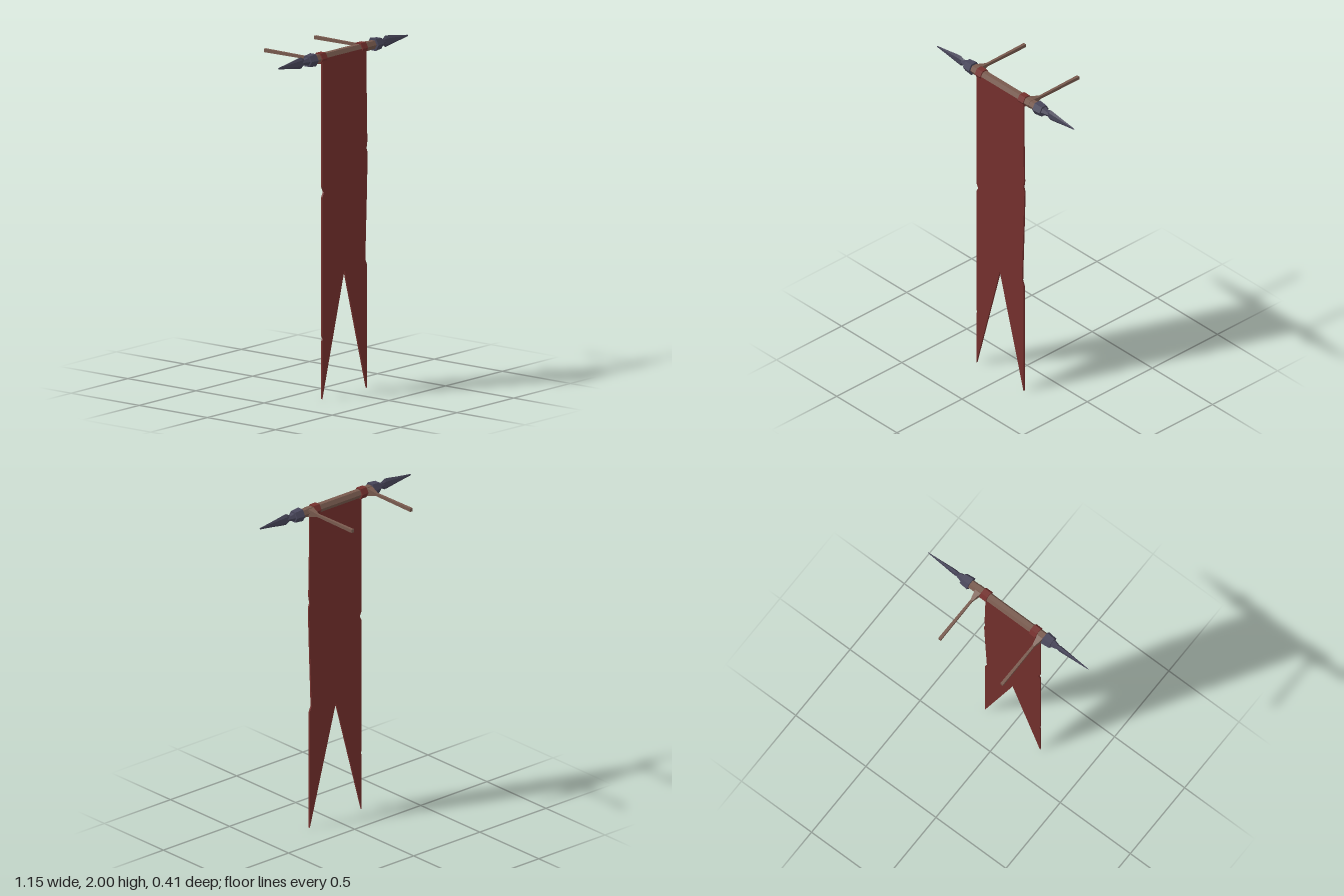
import * as THREE from 'three';

const ROD_Y = 1.965, ROD_Z = 0.164;
const paint = (color) => new THREE.MeshStandardMaterial({ color, flatShading: true });

export function createModel() {
  const group = new THREE.Group();
  const wood = paint(0x785a4e), cloth = paint(0x74302d), iron = paint(0x48465a);

  const add = (name, geometry, material, x, y, z) => {
    const mesh = new THREE.Mesh(geometry, material);
    mesh.name = name;
    mesh.position.set(x, y, z);
    group.add(mesh);
    return mesh;
  };

  // six-sided piece lying along x, with its corners toward +z and -z
  const hexAlongX = (rLeft, rRight, length) =>
    new THREE.CylinderGeometry(rRight, rLeft, length, 6).rotateZ(-Math.PI / 2);

  // crossbar
  add('crossbar', hexAlongX(0.027, 0.027, 0.56), wood, 0, ROD_Y, ROD_Z);

  // cloth bands tying the banner to the crossbar
  for (const x of [-0.198, 0.157])
    add('clothBand', hexAlongX(0.035, 0.035, 0.045), cloth, x, ROD_Y, ROD_Z);

  // iron collar, neck and flat spearhead at each end
  for (const side of [-1, 1]) {
    const end = new THREE.Group();
    end.name = side > 0 ? 'leftFinial' : 'rightFinial';
    end.position.set(0, ROD_Y, ROD_Z);
    if (side < 0) end.rotation.y = Math.PI;
    const piece = (name, geometry, x) => {
      const mesh = new THREE.Mesh(geometry, iron);
      mesh.name = name;
      mesh.position.x = x;
      end.add(mesh);
    };
    piece('collar', hexAlongX(0.041, 0.035, 0.055), 0.291);
    piece('neck', hexAlongX(0.026, 0.012, 0.05), 0.34);
    // blade profile swept round four corners, then flattened in z
    const profile = [[0, 0.335], [0.012, 0.335], [0.033, 0.372], [0.03, 0.4], [0.017, 0.48], [0.005, 0.565], [0, 0.573]]
      .map(([r, y]) => new THREE.Vector2(r, y));
    piece('spearhead', new THREE.LatheGeometry(profile, 6)
      .rotateZ(-Math.PI / 2).rotateX(Math.PI / 2).scale(1, 1, 0.4), 0);
    group.add(end);
  }

  // wall brackets: thin square bars that flare where they grip the crossbar
  const bar = (w0, h0, w1, h1, z0, z1) => {
    const g = new THREE.BoxGeometry(1, 1, 1);
    const p = g.attributes.position;
    for (let i = 0; i < p.count; i++) {
      const front = p.getZ(i) > 0;
      p.setXYZ(i, p.getX(i) * (front ? w1 : w0), p.getY(i) * (front ? h1 : h0), front ? z1 : z0);
    }
    return g;
  };
  for (const x of [-0.243, 0.2]) {
    add('bracketArm', bar(0.018, 0.02, 0.014, 0.016, -0.208, 0.085), wood, x, ROD_Y, 0);
    add('bracketFlare', bar(0.014, 0.016, 0.04, 0.046, 0.085, 0.145), wood, x, ROD_Y, 0);
    add('bracketGrip', hexAlongX(0.029, 0.029, 0.04), wood, x, ROD_Y, ROD_Z);
  }

  // swallow-tailed banner with worn edges
  const outline = [
    [-0.215, 1.97], [-0.215, 1.23], [-0.2, 1.2], [-0.215, 1.17],
    [-0.215, 0.37], [-0.208, 0.355], [-0.215, 0.34], [-0.215, 0.005],
    [-0.02, 0.72],
    [0.177, 0.005], [0.177, 0.72], [0.164, 0.75], [0.165, 0.8],
    [0.176, 1.1], [0.184, 1.36], [0.174, 1.39], [0.181, 1.43], [0.175, 1.75], [0.175, 1.97],
  ].map(([x, y]) => new THREE.Vector2(x, y));
  add('banner', new THREE.ExtrudeGeometry(new THREE.Shape(outline), { depth: 0.01, bevelEnabled: false }),
    cloth, 0, -0.005, 0.181);

  return group;
}
